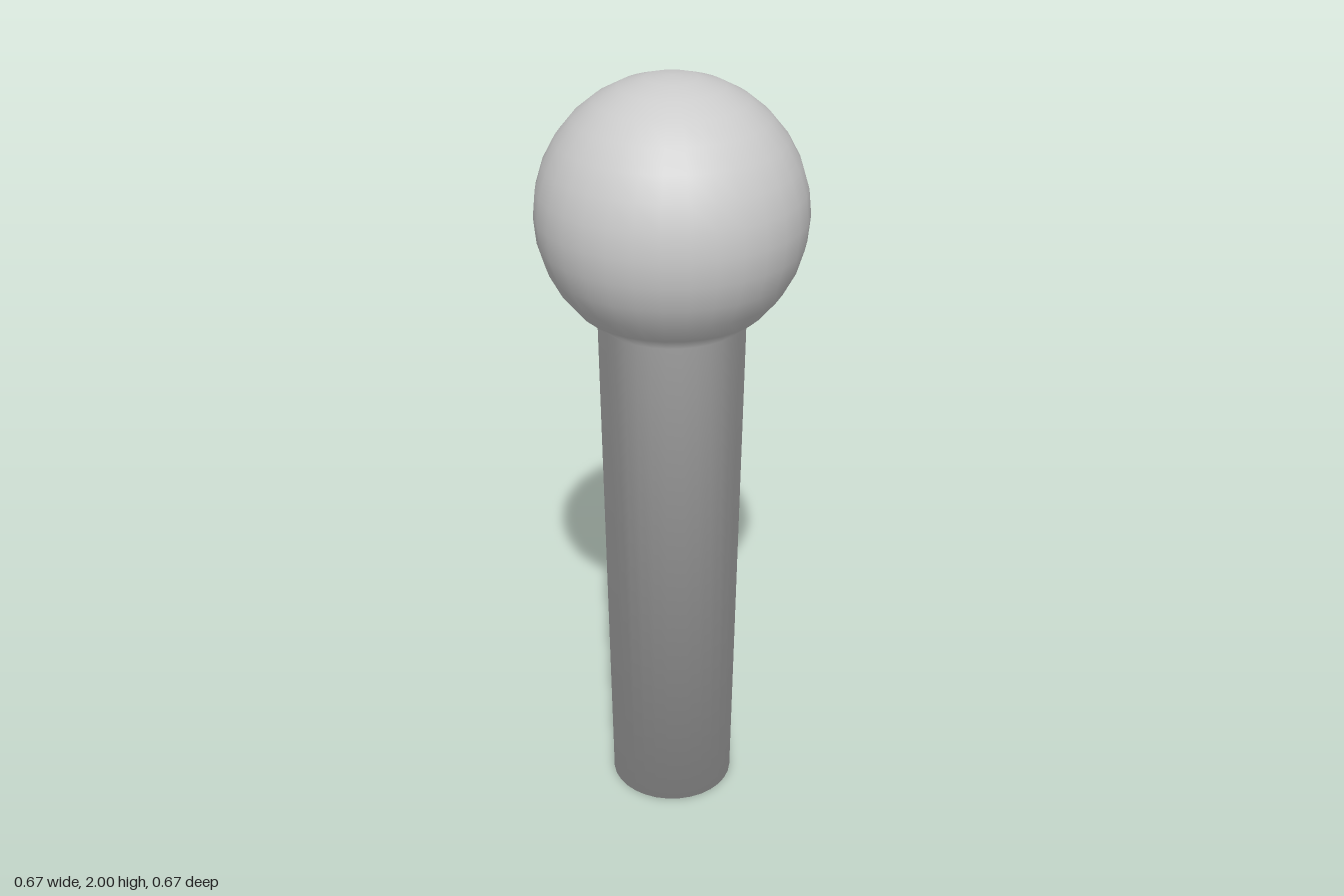
import * as THREE from 'three';

const SIDES = 32;
const RINGS = 16;
const RADIUS = 1 / 3;
const CENTER_Y = 2 - RADIUS;

// Half outline from the base centre, up the shaft, around the ball to its pole
function makeProfile() {
  const points = [new THREE.Vector2(0, 0), new THREE.Vector2(0.165, 0)];
  for (let ring = 3; ring <= RINGS; ring++) {
    const angle = (ring / RINGS) * Math.PI;
    const r = ring === RINGS ? 0 : RADIUS * Math.sin(angle);
    points.push(new THREE.Vector2(r, CENTER_Y - RADIUS * Math.cos(angle)));
  }
  return points;
}

// Outline normals, averaged evenly across each corner so the whole skin is smooth
function profileNormals(points) {
  const edges = points.slice(1).map((p, i) => {
    const d = p.clone().sub(points[i]).normalize();
    return new THREE.Vector2(d.y, -d.x);
  });
  return points.map((p, i) => {
    if (i === 0) return new THREE.Vector2(0, -1);
    if (i === points.length - 1) return new THREE.Vector2(0, 1);
    return edges[i - 1].clone().add(edges[i]).normalize();
  });
}

export function createModel() {
  const group = new THREE.Group();
  group.name = 'ballToppedPost';

  const points = makeProfile();
  const normals = profileNormals(points);
  const geometry = new THREE.LatheGeometry(points, SIDES);

  // Sweep the outline normals around the axis
  const attribute = geometry.attributes.normal;
  for (let k = 0; k < attribute.count; k++) {
    const n = normals[k % points.length];
    const phi = (Math.floor(k / points.length) / SIDES) * Math.PI * 2;
    attribute.setXYZ(k, n.x * Math.sin(phi), n.y, n.x * Math.cos(phi));
  }

  // Ball and tapered shaft form one continuous skin
  const post = new THREE.Mesh(geometry, new THREE.MeshStandardMaterial({ color: 0xcccccc }));
  post.name = 'ballAndShaft';
  group.add(post);
  return group;
}
